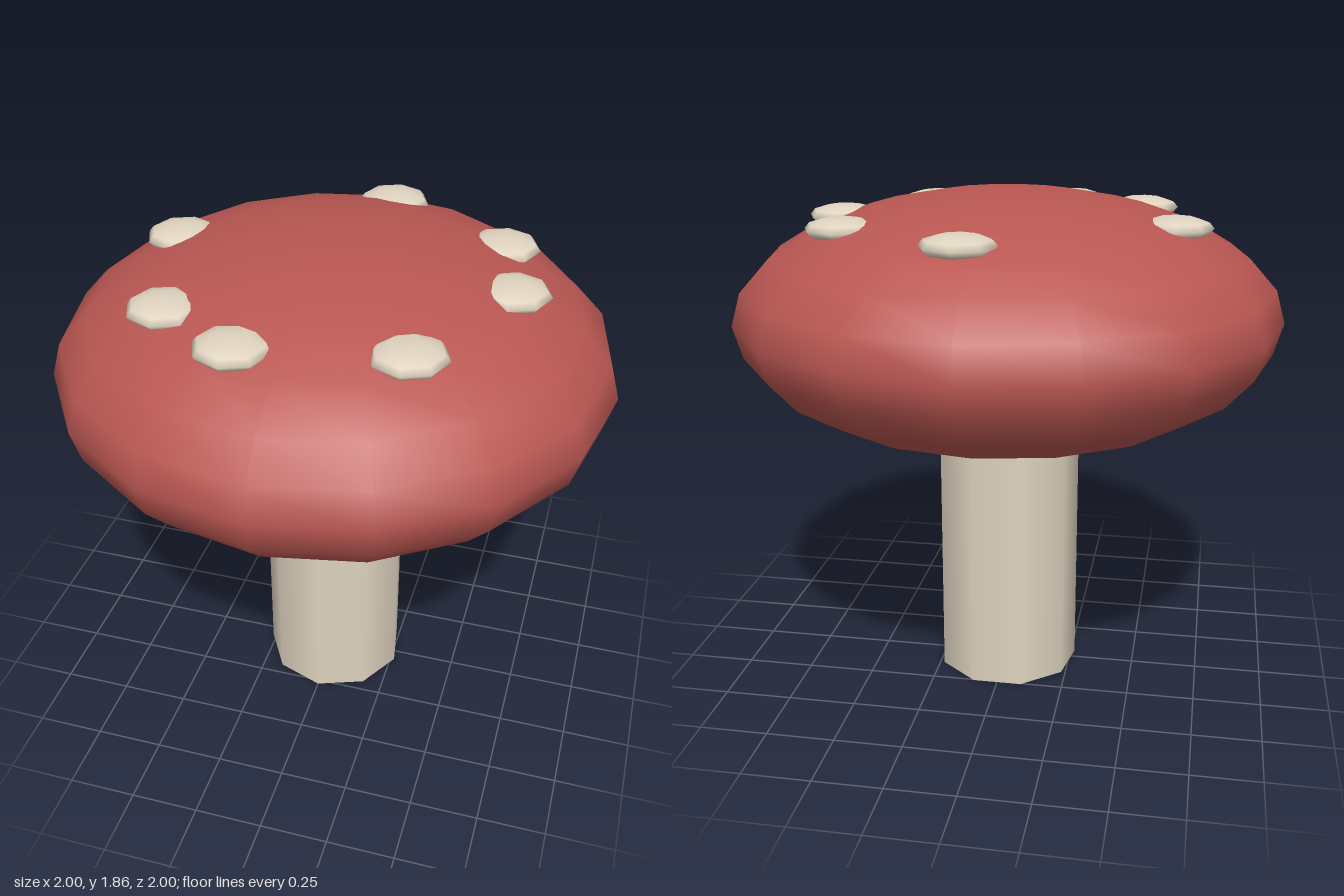
import * as THREE from 'three';

function material(name, color) {
  const m = new THREE.MeshStandardMaterial({ color });
  m.name = name;
  return m;
}

export function createModel() {
  const group = new THREE.Group();
  group.name = 'mushroom';
  const red = material('capRed', 0xba5752);
  const cream = material('cream', 0xe0d4c0);

  function add(name, geometry, mat, x, y, z) {
    const mesh = new THREE.Mesh(geometry, mat);
    mesh.name = name;
    mesh.position.set(x, y, z);
    group.add(mesh);
  }

  // Nine-sided stem, its top hidden inside the cap
  add('stem', new THREE.CylinderGeometry(0.27, 0.27, 1.1, 9), cream, 0, 0.55, 0);

  // Flattened cap
  add('cap', new THREE.SphereGeometry(1, 16, 12).scale(1, 0.457, 1), red, 0, 1.4, 0);

  // Ring of flattened spots half sunk into the cap: [x, z]
  const spotGeometry = new THREE.SphereGeometry(0.132, 8, 6).scale(1, 0.31, 1);
  const spots = [
    [0.055, -0.61], [0.52, -0.335], [0.61, 0], [0.37, 0.487],
    [-0.165, 0.588], [-0.46, 0.413], [-0.605, -0.113],
  ];
  spots.forEach(([x, z], i) => add(`spot${i + 1}`, spotGeometry, cream, x, 1.748, z));

  return group;
}
